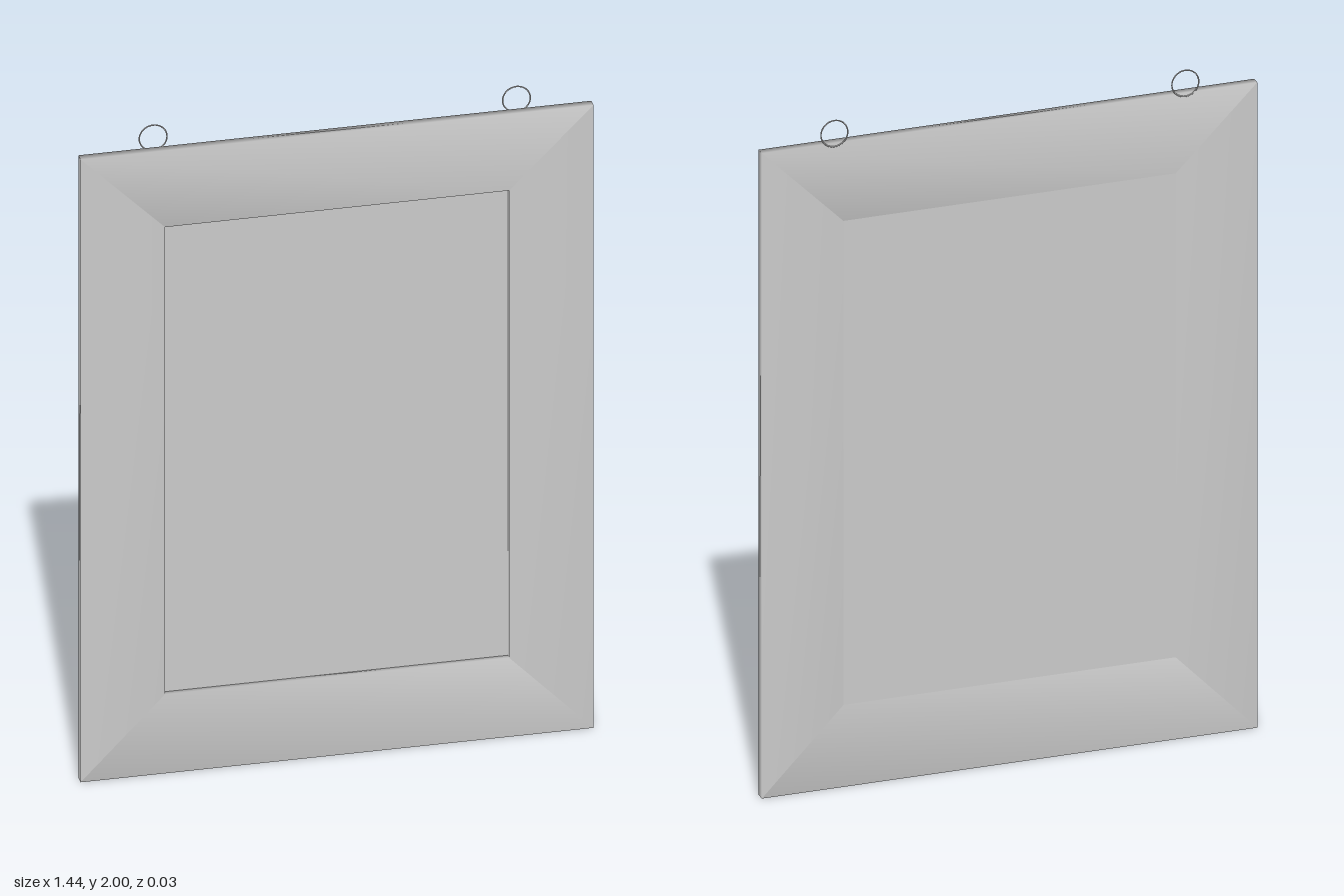
import * as THREE from 'three';

const W = 0.72, H = 1.93;               // outer half width, height
const IW = 0.483, Y0 = 0.245, Y1 = 1.693; // opening
const FRONT = 0.015, BACK = -0.011;

const grey = new THREE.MeshStandardMaterial({ color: 0xcccccc, side: THREE.DoubleSide });

function add(parent, name, geometry) {
  const mesh = new THREE.Mesh(geometry, grey);
  mesh.name = name;
  parent.add(mesh);
  return mesh;
}

// One mitred rail: the same rectangular section at both mitres, softly shaded around the section
function rail(outerA, innerA, outerB, innerB) {
  const section = (outer, inner) => [
    [...outer, FRONT], [...inner, FRONT], [...inner, BACK], [...outer, BACK],
  ];
  const points = [...section(outerA, innerA), ...section(outerB, innerB)];
  const index = [];
  for (let i = 0; i < 4; i++) {
    const j = (i + 1) % 4;
    index.push(i, i + 4, j, j, i + 4, j + 4);
  }
  const geometry = new THREE.BufferGeometry();
  geometry.setAttribute('position', new THREE.Float32BufferAttribute(points.flat(), 3));
  geometry.setIndex(index);
  geometry.computeVertexNormals();
  return geometry;
}

export function createModel() {
  const group = new THREE.Group();
  group.name = 'pictureFrame';

  // Four rails, anticlockwise from the bottom
  const outer = [[-W, 0], [W, 0], [W, H], [-W, H]];
  const inner = [[-IW, Y0], [IW, Y0], [IW, Y1], [-IW, Y1]];
  ['bottomRail', 'leftRail', 'topRail', 'rightRail'].forEach((name, i) => {
    const j = (i + 1) % 4;
    add(group, name, rail(outer[i], inner[i], outer[j], inner[j]));
  });

  // Recessed panel, almost flush with the back of the rails
  const panel = add(group, 'panel', new THREE.BoxGeometry(IW * 2, Y1 - Y0, 0.01));
  panel.position.set(0, (Y0 + Y1) / 2, -0.005);

  // Hanging rings behind the top rail
  for (const side of [1, -1]) {
    const ring = add(group, side > 0 ? 'leftRing' : 'rightRing',
      new THREE.TorusGeometry(0.039, 0.002, 8, 40));
    ring.position.set(side * 0.51, 1.959, -0.013);
  }
  return group;
}
